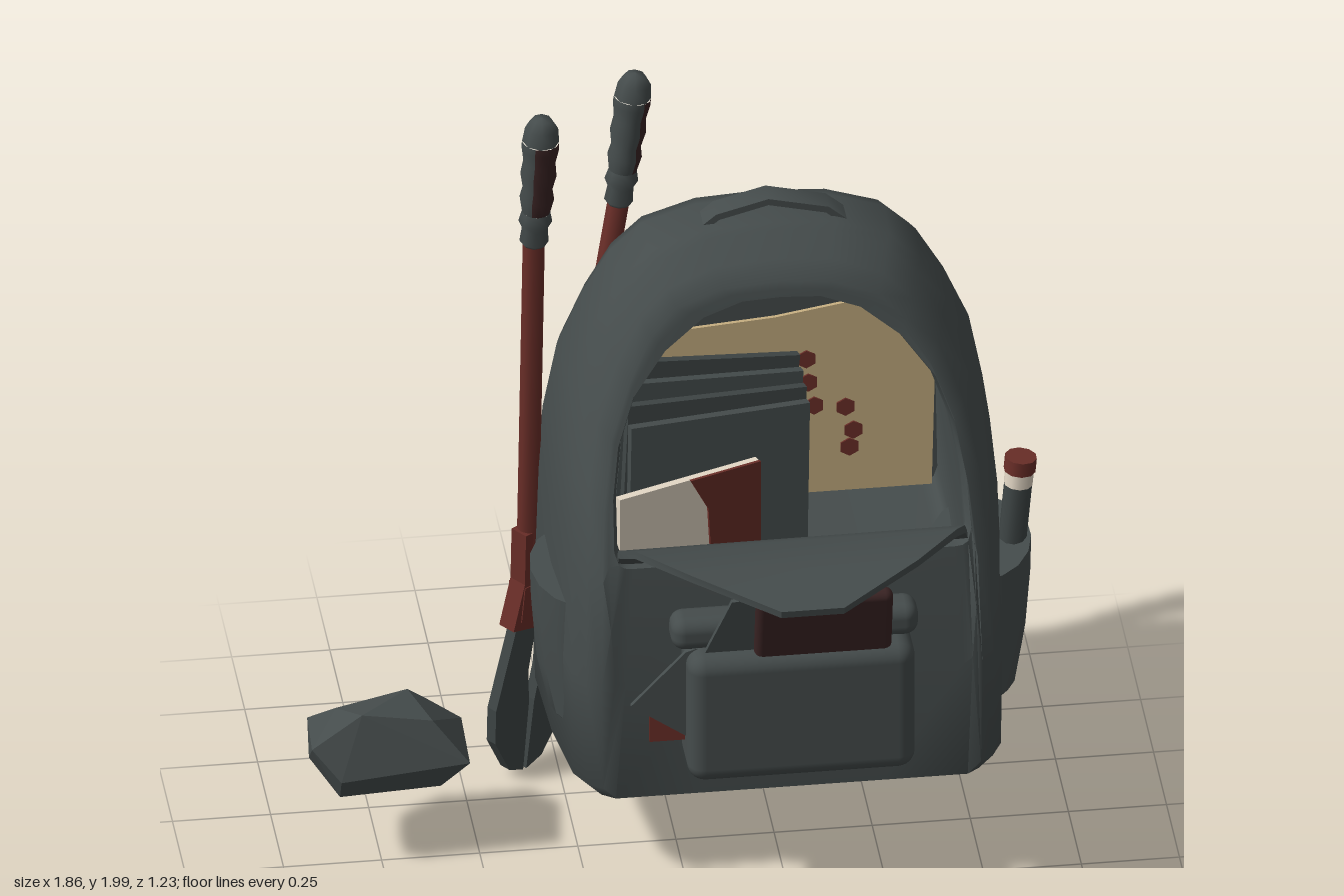
import * as THREE from 'three';
import { toCreasedNormals } from 'three/addons/utils/BufferGeometryUtils.js';
import { RoundedBoxGeometry } from 'three/addons/geometries/RoundedBoxGeometry.js';
import { ConvexGeometry } from 'three/addons/geometries/ConvexGeometry.js';

const V = (x, y, z) => new THREE.Vector3(x, y, z);
const CX = 0.28; // centre line of the bag
const { lerp } = THREE.MathUtils;

function material(name, color) {
  const m = new THREE.MeshStandardMaterial({ color });
  m.name = name;
  return m;
}

// Skin a list of equal-length rings of points, closing both ends
function loft(rings, crease = 0.6) {
  const n = rings[0].length, idx = [];
  for (let i = 0; i < rings.length - 1; i++) for (let j = 0; j < n; j++) {
    const a = i * n + j, b = i * n + (j + 1) % n;
    idx.push(a, b, b + n, a, b + n, a + n);
  }
  const e = (rings.length - 1) * n;
  for (let k = 1; k < n - 1; k++) idx.push(0, k + 1, k, e, e + k, e + k + 1);
  const g = new THREE.BufferGeometry().setFromPoints(rings.flat());
  g.setIndex(idx);
  return toCreasedNormals(g, crease);
}

// Band of given width and thickness along a path; side is the width direction
function band(path, width, thick, side) {
  return loft(path.map((p, i) => {
    const t = path[Math.min(i + 1, path.length - 1)].clone().sub(path[Math.max(i - 1, 0)]).normalize();
    const s = side.clone().addScaledVector(t, -side.dot(t)).normalize();
    const n = t.clone().cross(s);
    const w = (Array.isArray(width) ? width[i] : width) / 2;
    return [[1, 1], [-1, 1], [-1, -1], [1, -1]].map(([a, b]) =>
      p.clone().addScaledVector(s, a * w).addScaledVector(n, b * thick / 2));
  }));
}

function lerpTable(t, y) {
  for (let i = 1; i < t.length; i++) if (y <= t[i][0]) {
    const k = Math.max(0, (y - t[i - 1][0]) / (t[i][0] - t[i - 1][0]));
    return lerp(t[i - 1][1], t[i][1], k);
  }
  return t[t.length - 1][1];
}

const mirrorOutline = half => [...half, ...half.slice(1, -1).reverse().map(([x, y]) => [-x, y])];

function plate(points, depth) {
  const g = new THREE.ExtrudeGeometry(new THREE.Shape(points.map(p => new THREE.Vector2(...p))),
    { depth, bevelEnabled: false });
  return g.translate(0, 0, -depth / 2);
}

export function createModel() {
  const group = new THREE.Group();
  const cloth = material('slate cloth', 0x454c4c);
  const steel = material('dark steel', 0x3e4545);
  const red = material('brick red', 0x6a2e28);
  const maroon = material('dark maroon', 0x392323);
  const tan = material('tan paper', 0xc2ab7e);
  const cream = material('cream', 0xe4d8c6);

  const add = (name, geo, mat, pos = [0, 0, 0], rot = [0, 0, 0], parent = group) => {
    const m = new THREE.Mesh(geo, mat);
    m.name = name;
    m.position.set(...pos);
    m.rotation.set(...rot);
    parent.add(m);
    return m;
  };
  const box = (w, h, d) => new THREE.BoxGeometry(w, h, d);

  // Bag shell: arched rings from the back, round the tapering sides, into the opening
  const outer = mirrorOutline([[0, 0.25], [0.28, 0.25], [0.54, 0.25], [0.58, 0.29], [0.585, 0.6], [0.575, 0.93],
    [0.56, 1.1], [0.525, 1.28], [0.46, 1.43], [0.39, 1.55], [0.31, 1.625], [0.17, 1.67], [0, 1.68]])
    .map(([x, y]) => [x - 0.012, y]);
  const mouth = mirrorOutline([[0, 0.92], [0.2, 0.92], [0.41, 0.92], [0.43, 0.922], [0.445, 0.93], [0.455, 0.96],
    [0.45, 1.08], [0.43, 1.2], [0.385, 1.32], [0.3, 1.43], [0.2, 1.51], [0.1, 1.545], [0, 1.55]]);
  const front = [[0.25, 0.19], [0.32, 0.2], [0.85, 0.19], [0.95, 0.14], [1.05, 0.09], [1.2, 0.02],
    [1.4, -0.05], [1.58, -0.09], [1.68, -0.13]];
  const ring = (pts, sx, sy, cy, zf) => pts.map(([x, y]) => {
    const yy = cy + (y - cy) * sy;
    return V(CX + x * sx, yy, zf(lerpTable(front, yy)));
  });
  const rim = ring(outer, 0.83, 0.93, 0.4, z => z);
  const toMouth = k => rim.map((p, i) => {
    const y = lerp(p.y, mouth[i][1], k);
    return V(lerp(p.x, CX + mouth[i][0], k), y, lerpTable(front, y));
  });
  const cavity = mouth.map(([x, y]) => [x, y < 1 ? y - 0.17 : y]);
  add('bagBody', loft([
    ring(outer, 0.6, 0.6, 0.85, () => -0.46), ring(outer, 0.88, 0.9, 0.85, () => -0.45),
    ring(outer, 0.97, 0.975, 0.85, () => -0.42), ring(outer, 1, 1, 0.85, () => -0.36),
    ring(outer, 0.985, 1, 0.85, z => -0.18 + z * 0.4), ring(outer, 0.94, 0.99, 0.4, z => z - 0.09),
    ring(outer, 0.89, 0.96, 0.4, z => z - 0.03), rim, toMouth(0.5), toMouth(1),
    ring(mouth, 0.975, 0.985, 1.25, z => z - 0.03), ring(cavity, 0.975, 0.985, 1.25, z => z - 0.06),
    ring(cavity, 0.97, 0.985, 1.25, () => -0.42),
  ], 0.9), cloth);

  // Open flap folded forward
  add('openFlap', band([V(CX, 0.92, 0.12), V(CX - 0.01, 0.99, 0.19), V(CX - 0.01, 1.04, 0.28), V(CX - 0.01, 1.06, 0.44),
    V(CX - 0.01, 1.035, 0.6)], [0.89, 0.88, 0.82, 0.58, 0.16], 0.02, V(1, 0, 0)), cloth);

  // Top carry handle
  add('topHandle', band([V(0.07, 1.63, -0.29), V(0.14, 1.69, -0.29), V(0.27, 1.725, -0.29), V(0.42, 1.69, -0.29),
    V(0.49, 1.63, -0.29)], 0.065, 0.018, V(0, 0, 1)), cloth);

  // Shoulder straps and bulging side pockets, one per side
  for (const s of [-1, 1]) {
    const strap = new THREE.CatmullRomCurve3([[0.16, 1.63, -0.38], [0.16, 1.45, -0.48], [0.18, 1.15, -0.56],
      [0.22, 0.85, -0.588], [0.28, 0.52, -0.575], [0.34, 0.37, -0.53], [0.42, 0.38, -0.47], [0.52, 0.53, -0.38]]
      .map(([x, y, z]) => V(CX - 0.005 + s * x, y, z)));
    const pts = strap.getPoints(28);
    add('shoulderStrap', band(pts, pts.map((p, i) => i < 14 ? 0.15 : Math.max(0.07, 0.15 - (i - 14) * 0.01)),
      0.032, V(1, 0, s * 0.35)), cloth);
    const pocketRings = [[0.36, -0.04, 0.07, 0.05], [0.4, -0.06, 0.13, 0.09], [0.52, -0.09, 0.155, 0.115],
      [0.68, -0.095, 0.155, 0.128], [0.78, -0.095, 0.15, 0.13], [0.78, -0.095, 0.13, 0.11]];
    add('sidePocket', loft(pocketRings.map(([y, zc, rz, rx]) => Array.from({ length: 16 }, (_, i) => {
      const a = i / 16 * Math.PI * 2, z = zc + rz * Math.cos(a);
      return V(CX + s * (0.5 - z * 0.08) + rx * Math.sin(a), y - (y > 0.6 ? (z + 0.1) * 0.2 : 0), z);
    }))), cloth);
  }

  // Front pocket with its contents
  add('frontPocket', new RoundedBoxGeometry(0.58, 0.37, 0.2, 3, 0.045), cloth, [CX, 0.555, 0.235]);
  add('pocketRoll', new RoundedBoxGeometry(0.63, 0.09, 0.1, 3, 0.035), cloth, [0.27, 0.775, 0.225]);
  add('phone', new RoundedBoxGeometry(0.35, 0.3, 0.045, 2, 0.02), maroon, [0.335, 0.77, 0.3], [0.2, 0, 0]);
  add('pocketCard', plate([[0.01, -0.1], [0.2, -0.1], [0.2, 0.15], [0.1, 0.14]], 0.012), cloth, [0, 0.77, 0.29], [0.2, 0, 0]);
  add('grayTag', plate([[-0.15, 0.58], [0.02, 0.46], [0.02, 0.74], [-0.01, 0.73]], 0.012), cloth, [0, 0, 0.26]);
  add('redTag', plate([[-0.1, 0.46], [0.02, 0.46], [0.02, 0.54], [-0.1, 0.54]], 0.01), red, [0, 0, 0.245]);

  // Marker in the side pocket
  const marker = new THREE.Group();
  marker.name = 'marker';
  marker.position.set(0.855, 0.6, -0.1);
  marker.rotation.z = -0.09;
  group.add(marker);
  for (const [name, r, y0, y1, mat] of [['markerBarrel', 0.036, 0, 0.335, steel], ['markerCollar', 0.037, 0.335, 0.375, cream],
    ['markerCap', 0.041, 0.375, 0.415, red]])
    add(name, new THREE.CylinderGeometry(r, r, y1 - y0, 10), mat, [0, (y0 + y1) / 2, 0], [0, 0, 0], marker);

  // Map sheet at the back of the opening, with red spots
  add('mapSheet', plate([[-0.12, 0.78], [0.7, 0.78], [0.71, 1.2], [0.66, 1.37], [0.3, 1.31], [-0.08, 1.28]], 0.01), tan, [0, 0, -0.37]);
  for (const [x, y] of [[0.38, 1.18], [0.385, 1.11], [0.4, 1.04], [0.48, 1.03], [0.5, 0.96], [0.49, 0.91]])
    add('mapSpot', new THREE.CylinderGeometry(0.026, 0.026, 0.006, 6), red, [x, y, -0.363], [Math.PI / 2, 0, 0]);

  // Notebooks fanned in the opening
  for (let i = 0; i < 4; i++)
    add('notebook', box(0.48, 0.42, 0.025), i % 2 ? steel : cloth,
      [0.12 - i * 0.008, 0.98 + i * 0.025, -0.1 - i * 0.05], [-0.1, 0.22, -0.03 - i * 0.035]);
  const book = new THREE.Group();
  book.name = 'frontBook';
  book.position.set(0.03, 0.945, 0.0);
  book.rotation.y = 0.36;
  group.add(book);
  add('bookPages', box(0.4, 0.27, 0.02), cream, [0, 0, 0], [0, 0, 0], book);
  add('bookCover', plate([[0.06, -0.135], [0.2, -0.135], [0.2, 0.137], [0, 0.137], [0.05, 0.04]], 0.008), red,
    [0, 0, 0.014], [0, 0, 0], book);

  // Small tools hung under the top of the opening
  [tan, tan, red].forEach((mat, i) => {
    const x = 0.165 + i * 0.12;
    add('toolHandle', plate([[-0.03, 0.05], [0.03, 0.05], [0.03, 0], [0.012, -0.03], [-0.012, -0.03], [-0.03, 0]], 0.02),
      mat, [x, 1.485, -0.39]);
    add('toolShaft', box(0.025, 0.1, 0.012), steel, [x, 1.41, -0.39]);
  });

  // Bolt cutter leaning on the back corner
  const cutter = new THREE.Group();
  cutter.name = 'boltCutter';
  cutter.position.set(-0.345, 0.005, -0.39);
  cutter.rotation.set(0.047, 0.69, -0.078, 'YXZ');
  group.add(cutter);
  const lathe = (pts, start = 0, length = Math.PI * 2) =>
    new THREE.LatheGeometry(pts.map(p => new THREE.Vector2(...p)), 8, start, length);
  for (const s of [-1, 1]) {
    const blade = [[0.006, 0.0], [0.06, 0.02], [0.125, 0.12], [0.135, 0.22], [0.11, 0.34], [0.085, 0.46], [0.01, 0.46],
      [0.025, 0.3], [0.01, 0.2]].map(([x, y]) => [s * x, y]);
    add('blade', plate(blade, 0.03), steel, [0, 0, 0], [0, 0, 0], cutter);
    const jaw = [[0.01, 0.43], [0.11, 0.45], [0.085, 0.58], [0.1, 0.73], [0.035, 0.73], [0.01, 0.62]].map(([x, y]) => [s * x, y]);
    add('jawPlate', plate(jaw, 0.05), red, [0, 0, 0], [0, 0, 0], cutter);
    const arm = new THREE.Group();
    arm.name = 'cutterArm';
    arm.position.set(s * 0.06, 0.68, 0);
    arm.rotation.z = -s * 0.105;
    cutter.add(arm);
    add('armTube', new THREE.CylinderGeometry(0.028, 0.028, 0.96, 8), red, [0, 0.48, 0], [0, 0, 0], arm);
    const grip = new THREE.Group();
    grip.name = 'grip';
    grip.position.y = 0.93;
    grip.rotation.z = s * 0.06;
    arm.add(grip);
    add('gripCollar', lathe([[0.028, 0], [0.037, 0.01], [0.033, 0.05], [0.043, 0.07], [0.036, 0.1]]), cloth, [0, 0, 0], [0, 0, 0], grip);
    // Sleeve: maroon panel on one side, cloth colour on the rest
    const sleeve = [[0.036, 0.1], [0.044, 0.14], [0.038, 0.17], [0.046, 0.21], [0.041, 0.25], [0.048, 0.29], [0.047, 0.31]];
    const start = s < 0 ? -1.1 : -0.1, arc = 3.5;
    add('gripPanel', lathe(sleeve, start, arc), maroon, [0, 0, 0], [0, 0, 0], grip);
    add('gripSleeve', lathe(sleeve, start + arc, Math.PI * 2 - arc), cloth, [0, 0, 0], [0, 0, 0], grip);
    add('gripEnd', lathe([[0.047, 0.31], [0.042, 0.35], [0.025, 0.375], [0, 0.38]]), cloth, [0, 0, 0], [0, 0, 0], grip);
  }
  add('pivotPlate', box(0.17, 0.1, 0.056), red, [0, 0.52, 0], [0, 0, 0], cutter);
  add('pivotWedge', plate([[-0.035, 0.69], [0, 0.66], [0.035, 0.69], [0.03, 0.61], [0, 0.57], [-0.03, 0.61]], 0.062),
    steel, [0, 0, 0], [0, 0, 0], cutter);

  // Faceted stone beside the bag
  const stone = [[-0.93, 0.3, -0.04], [-0.93, 0.36, 0.02], [-0.92, 0.35, -0.15], [-0.86, 0.43, -0.06], [-0.86, 0.22, 0.03],
    [-0.86, 0.28, 0.06], [-0.85, 0.22, -0.15], [-0.83, 0.33, -0.2], [-0.67, 0.44, -0.11], [-0.8, 0.44, 0], [-0.62, 0.41, 0],
    [-0.6, 0.22, 0.01], [-0.53, 0.3, 0.04], [-0.53, 0.33, -0.13], [-0.61, 0.35, -0.2], [-0.62, 0.22, -0.15]];
  add('stone', new ConvexGeometry(stone.map(p => V(...p))), cloth);

  return group;
}
